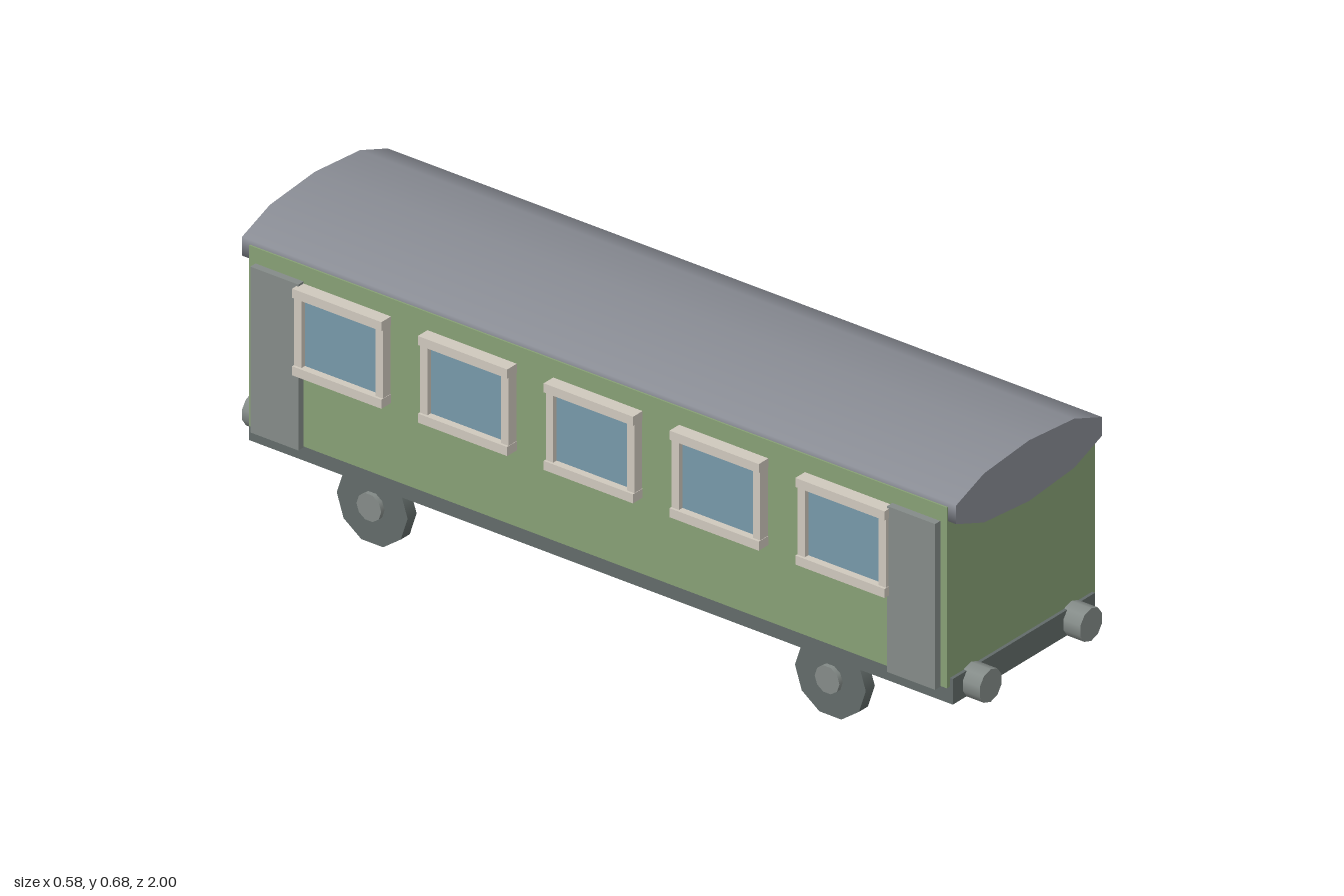
import * as THREE from 'three';

const mat = (color) => new THREE.MeshStandardMaterial({ color });

export function createModel() {
  const model = new THREE.Group();
  model.name = 'railwayCarriage';

  const green = mat(0x87a075), roofGrey = mat(0x888b93), iron = mat(0x626b69);
  const steel = mat(0x848b88), cream = mat(0xcfc8bd), glass = mat(0x7799a9);

  const add = (parent, name, geometry, material, x, y, z) => {
    const mesh = new THREE.Mesh(geometry, material);
    mesh.name = name;
    mesh.position.set(x, y, z);
    parent.add(mesh);
    return mesh;
  };
  const box = (parent, name, material, w, h, d, x, y, z) =>
    add(parent, name, new THREE.BoxGeometry(w, h, d), material, x, y, z);
  // ten-sided cylinders lying along x or z
  const rodX = (r, length) => new THREE.CylinderGeometry(r, r, length, 10).rotateZ(Math.PI / 2);
  const rodZ = (r, length) => new THREE.CylinderGeometry(r, r, length, 10).rotateX(Math.PI / 2);

  // Coach body and underframe
  box(model, 'body', green, 0.51, 0.438, 1.892, 0, 0.399, 0);
  box(model, 'underframe', iron, 0.49, 0.062, 1.908, 0, 0.17, 0);

  // Roof: a flattened cylinder sunk into the body
  add(model, 'roof', rodZ(1, 1.936).scale(0.264, 0.0735, 1), roofGrey, 0, 0.6065, 0);

  // One framed window, protruding towards +x before mirroring
  const addWindow = (side, z) => {
    const w = new THREE.Group();
    w.name = 'window';
    w.position.set(side * 0.25, 0.47, z);
    model.add(w);
    box(w, 'windowPane', glass, 0.024, 0.19, 0.22, side * 0.008, 0, 0);
    for (const s of [-1, 1]) {
      box(w, 'windowRail', cream, 0.04, 0.022, 0.242, side * 0.018, s * 0.094, 0);
      box(w, 'windowStile', cream, 0.034, 0.168, 0.02, side * 0.015, 0, s * 0.11);
    }
  };

  for (const side of [-1, 1]) {
    for (let i = -2; i <= 2; i++) addWindow(side, i * 0.341);
    for (const end of [-1, 1]) {
      box(model, 'door', steel, 0.03, 0.402, 0.13, side * 0.258, 0.379, end * 0.863);
      add(model, 'buffer', rodZ(0.0395, 0.055), steel, side * 0.173, 0.17, end * 0.9725);
    }
  }

  // Wheel sets
  for (const end of [-1, 1]) {
    const set = new THREE.Group();
    set.name = 'wheelSet';
    set.position.set(0, 0.0915, end * 0.621);
    model.add(set);
    add(set, 'axle', rodX(0.0175, 0.44), iron, 0, 0.001, 0);
    for (const side of [-1, 1]) {
      add(set, 'wheel', rodX(0.096, 0.031), iron, side * 0.228, 0, 0);
      add(set, 'hub', rodX(0.0335, 0.03), steel, side * 0.24, 0, 0);
    }
  }

  return model;
}
